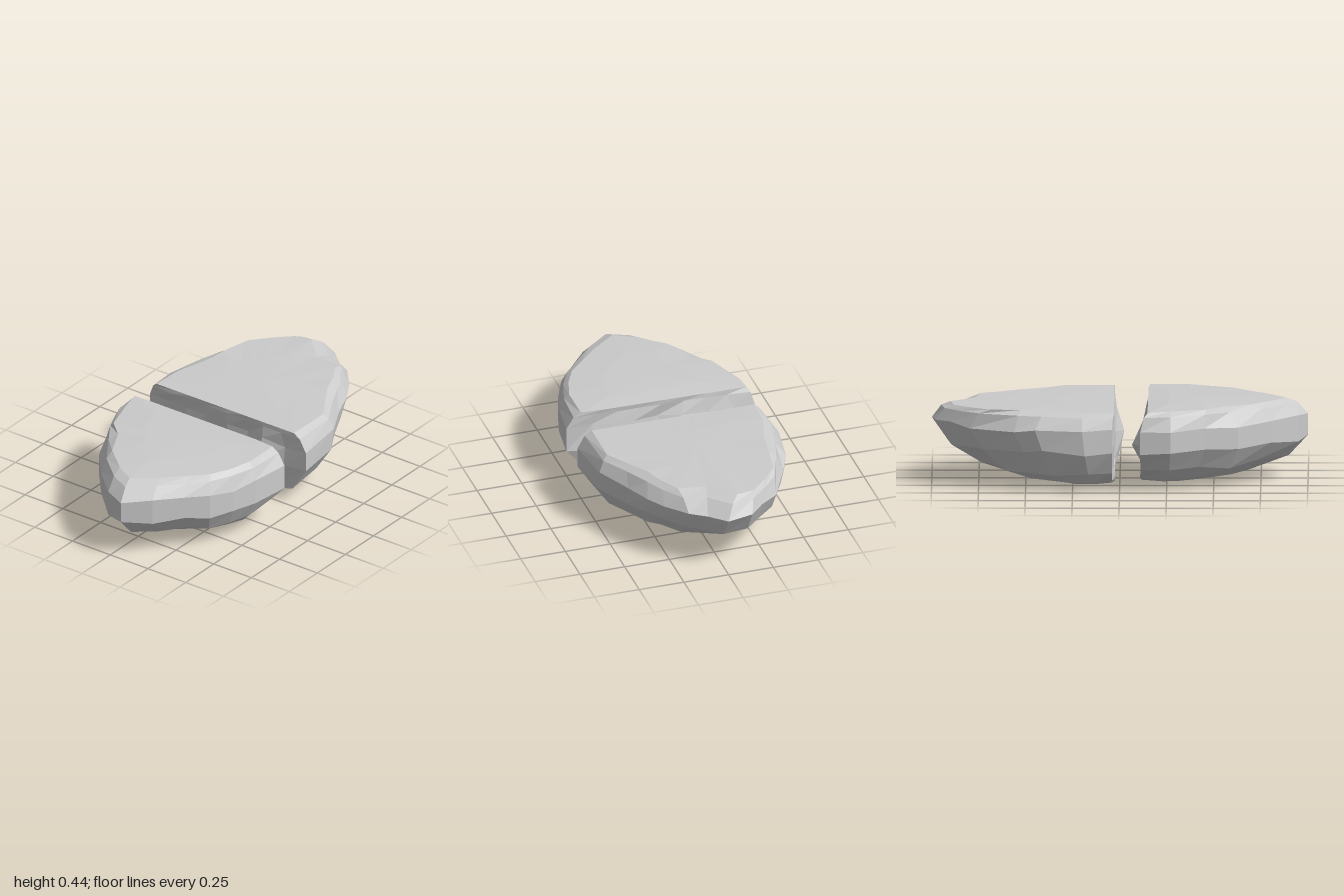
import * as THREE from 'three';

const SPLIT_STEPS = 8;

// Small repeatable random number source, 0..1
function seeded(seed) {
  let s = seed;
  return () => (s = (s * 16807) % 2147483647) / 2147483647;
}

// Each half: plan outline at the girth and at the top rim, back to front around the outside.
// bulges of the broken face: z, y, amount
// levels: y, blend from girth to rim, x scale, z scale at the back, z scale at the front,
//         squareness power, z scale of the corners beside the broken face
const RIGHT = {
  name: 'rightStoneHalf', seed: 71, splitX: -0.15, side: -1, crown: 0.44,
  girth: [[-0.11, -0.51], [-0.27, -0.52], [-0.45, -0.43], [-0.63, -0.35], [-0.8, -0.21], [-0.95, -0.05], [-1, 0.07],
    [-0.89, 0.2], [-0.76, 0.31], [-0.65, 0.4], [-0.52, 0.46], [-0.38, 0.5], [-0.16, 0.53]],
  rim: [[-0.15, -0.47], [-0.27, -0.44], [-0.46, -0.38], [-0.54, -0.29], [-0.7, -0.21], [-0.82, -0.07], [-0.88, 0.04],
    [-0.78, 0.17], [-0.67, 0.28], [-0.59, 0.36], [-0.49, 0.41], [-0.36, 0.45], [-0.16, 0.45]],
  bulges: [[-0.12, 0.2, 0.09], [-0.38, 0.24, 0.06], [0.12, 0.13, 0.04], [0.3, 0.22, 0.04]],
  levels: [[0.43, 1, 1, 1, 1, 1, 1], [0.405, 0.5, 1, 1, 1, 1, 1], [0.335, 0, 1, 1, 1, 1, 1], [0.21, 0, 1, 1, 1, 1, 1],
    [0.115, 0, 0.88, 0.87, 0.89, 0.96, 0.97], [0.045, 0, 0.65, 0.65, 0.77, 0.85, 0.8],
    [0.012, 0, 0.42, 0.36, 0.53, 0.75, 0.7]],
};
const LEFT = {
  name: 'leftStoneHalf', seed: 1234, splitX: 0.03, side: 1, crown: 0.43,
  girth: [[0.04, -0.51], [0.2, -0.54], [0.45, -0.5], [0.56, -0.45], [0.8, -0.33], [0.9, -0.22], [0.98, -0.14],
    [1, 0], [0.92, 0.09], [0.87, 0.18], [0.75, 0.28], [0.65, 0.34], [0.5, 0.4], [0.32, 0.5], [0.03, 0.53]],
  rim: [[0.03, -0.46], [0.2, -0.45], [0.38, -0.4], [0.52, -0.38], [0.69, -0.35], [0.79, -0.27], [0.88, -0.18],
    [0.9, -0.08], [0.77, 0.05], [0.74, 0.2], [0.63, 0.26], [0.53, 0.3], [0.4, 0.38], [0.29, 0.45], [0.03, 0.45]],
  bulges: [[0.27, 0.2, 0.05], [-0.1, 0.18, -0.02]],
  levels: [[0.425, 1, 1, 1, 1, 1, 1], [0.4, 0.5, 1, 1, 1, 1, 1], [0.33, 0, 1, 1, 1, 1, 1],
    [0.215, 0, 0.91, 1, 1, 1, 1], [0.1, 0, 0.74, 0.9, 0.86, 0.95, 0.97],
    [0.042, 0, 0.55, 0.79, 0.67, 0.85, 0.85], [0.01, 0, 0.37, 0.52, 0.45, 0.72, 0.75]],
};

// Depth of the rough broken face at a given z and y
function splitAt(half, z, y) {
  let x = half.splitX;
  for (const [bz, by, a] of half.bulges) {
    x -= half.side * a * Math.exp(-(((z - bz) / 0.12) ** 2) - ((y - by) / 0.1) ** 2);
  }
  return x;
}

// One closed ring of points, counter-clockwise from above
function makeRing(half, level, index, rand) {
  const [y, blend, sx, backZ, frontZ, power, corner] = level;
  const middle = index > 1 && index < 5;
  const rough = index === 0 ? 0 : middle ? 1 : 0.3;
  const reach = Math.abs(half.side - half.splitX);
  const last = half.girth.length - 1;
  const pts = half.girth.map(([gx, gz], i) => {
    const [rx, rz] = half.rim[i];
    const end = i === 0 || i === last;
    const dx = (THREE.MathUtils.lerp(gx, rx, blend) - half.splitX) / reach;
    const z = THREE.MathUtils.lerp(gz, rz, blend) * (gz < 0 ? backZ : frontZ);
    // Uneven heights give chipped facets
    const chip = (rand() - 0.5) * (middle ? 0.03 : 0.006);
    return new THREE.Vector3(
      half.splitX + Math.sign(dx) * Math.abs(dx) ** power * reach * sx,
      y + chip,
      z * (end ? corner : 1),
    );
  });
  const front = pts[last].clone();
  const back = pts[0].clone();
  for (let i = 1; i < SPLIT_STEPS; i++) {
    const p = front.clone().lerp(back, i / SPLIT_STEPS);
    p.y += rough * (rand() - 0.5) * 0.025;
    p.z += rough * (rand() - 0.5) * 0.04;
    p.x = splitAt(half, p.z, p.y) + half.side * rough * (rand() - 0.4) * 0.025;
    pts.push(p);
  }
  return half.side > 0 ? pts.reverse() : pts;
}

// Shrinks a ring towards its middle to form a gently domed cap
function shrinkRing(ring, scale, y) {
  const mid = ring.reduce((m, p) => m.add(p), new THREE.Vector3()).divideScalar(ring.length);
  return ring.map((p) => mid.clone().lerp(p, scale).setY(y));
}

function makeHalf(half) {
  const rand = seeded(half.seed);
  const rings = half.levels.map((level, i) => makeRing(half, level, i, rand));

  // Top and bottom caps
  rings.unshift(shrinkRing(rings[0], 0.55, half.crown - 0.002));
  rings.unshift(shrinkRing(rings[0], 0, half.crown));
  rings.push(shrinkRing(rings[rings.length - 1], 0.5, 0.001));
  rings.push(shrinkRing(rings[rings.length - 1], 0, 0));

  const n = rings[0].length;
  const positions = rings.flat().flatMap((p) => [p.x, p.y, p.z]);
  const index = [];
  for (let k = 0; k < rings.length - 1; k++) {
    for (let i = 0; i < n; i++) {
      const j = (i + 1) % n;
      const a = k * n + i, b = k * n + j, c = a + n, d = b + n;
      if (k === 0) index.push(a, c, d);
      else if (k === rings.length - 2) index.push(a, c, b);
      else index.push(c, d, b, c, b, a);
    }
  }
  const geometry = new THREE.BufferGeometry();
  geometry.setAttribute('position', new THREE.Float32BufferAttribute(positions, 3));
  geometry.setIndex(index);
  geometry.computeVertexNormals();
  const mesh = new THREE.Mesh(geometry, new THREE.MeshStandardMaterial({ color: 0xcccccc, flatShading: true }));
  mesh.name = half.name;
  return mesh;
}

export function createModel() {
  const group = new THREE.Group();
  group.name = 'splitStone';
  group.add(makeHalf(RIGHT), makeHalf(LEFT));
  return group;
}
